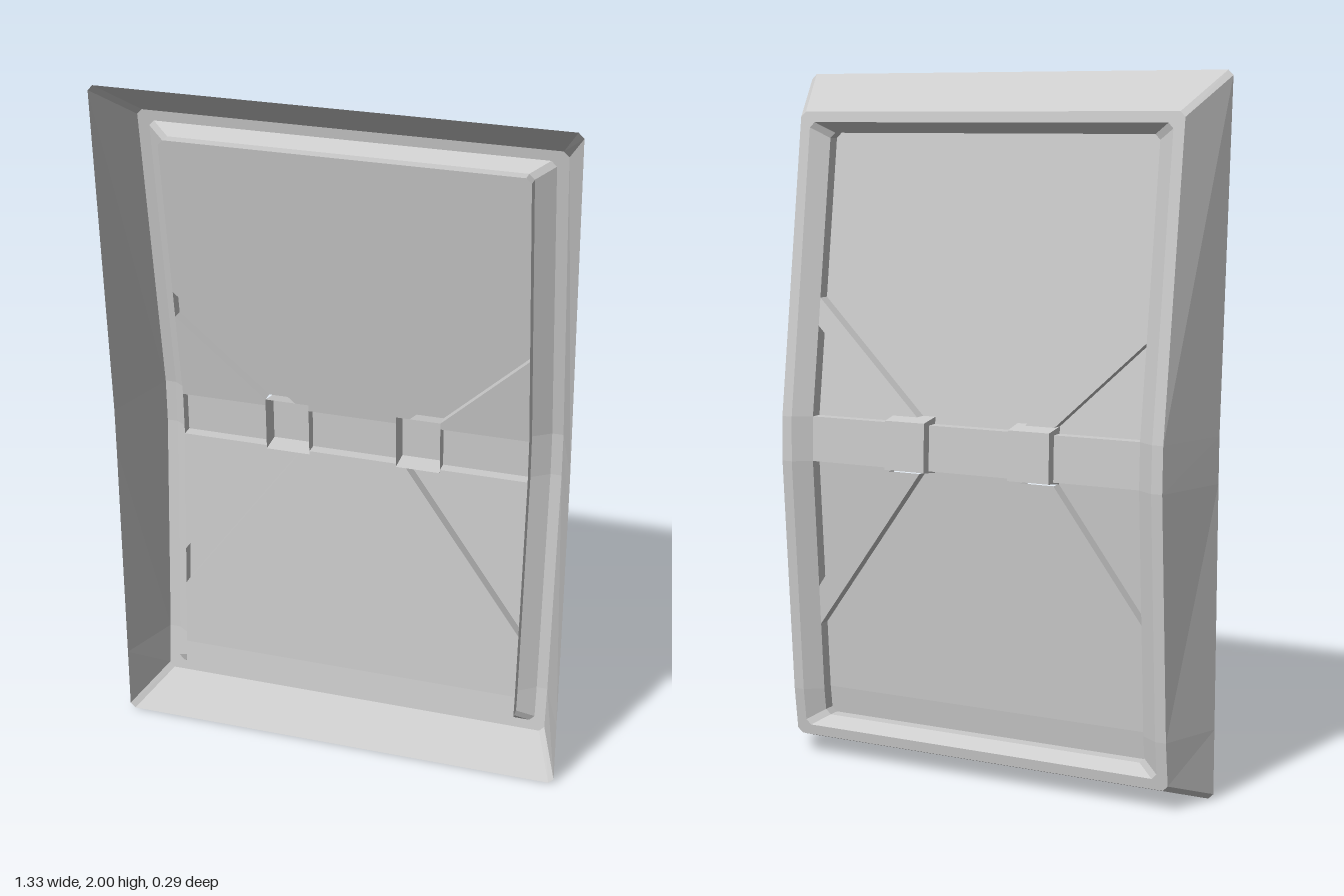
import * as THREE from 'three';

const material = new THREE.MeshStandardMaterial({ color: 0xcccccc, flatShading: true, side: THREE.DoubleSide });

// Piecewise-linear lookup of z by height, from [y, z] pairs
function lookup(table, y) {
  for (let i = 1; i < table.length; i++) {
    const [y0, z0] = table[i - 1], [y1, z1] = table[i];
    if (y <= y1 || i === table.length - 1) return z0 + (z1 - z0) * (y - y0) / (y1 - y0);
  }
}
const rear = y => lookup([[0.06, -0.08], [0.2, -0.098], [0.89, -0.145], [1.02, -0.142], [1.89, -0.02]], y);
const front = y => lookup([[0, 0.085], [1, 0.085], [2, 0.145]], y);
const PANEL = 0.07, BAR = 0.035, CLAMP = 0.009; // depths measured forward from the rear edge

function addMesh(parent, name, geometry) {
  const mesh = new THREE.Mesh(geometry, material);
  mesh.name = name;
  parent.add(mesh);
  return mesh;
}

// Band of quads between two rows of points
function band(a, b, closed = true) {
  const pos = [];
  const n = closed ? a.length : a.length - 1;
  for (let i = 0; i < n; i++) {
    const j = (i + 1) % a.length;
    pos.push(...a[i], ...a[j], ...b[j], ...a[i], ...b[j], ...b[i]);
  }
  const g = new THREE.BufferGeometry();
  g.setAttribute('position', new THREE.Float32BufferAttribute(pos, 3));
  g.computeVertexNormals();
  return g;
}

// Flat sheet outlined in x/y and laid on the bent rear profile
function plate(points, depth) {
  const shape = new THREE.Shape(points.map(p => new THREE.Vector2(p[0], p[1])));
  const g = new THREE.ShapeGeometry(shape).toNonIndexed();
  const pos = g.attributes.position;
  for (let i = 0; i < pos.count; i++) pos.setZ(i, rear(pos.getY(i)) + depth);
  g.computeVertexNormals();
  return g;
}

const lift = (points, depth) => points.map(([x, y]) => [x, y, rear(y) + depth]);
const flip = points => points.map(([x, y]) => [-x, y]).reverse();

// Rectangular loop with clipped corners and stations at the bends
function loop(hw, y0, y1, zAt, c = 0.015) {
  const half = [[hw - c, y0], [hw, y0 + c], [hw, 0.2], [hw, 0.89], [hw, 1.02], [hw, y1 - c], [hw - c, y1]];
  return [...half, ...flip(half)].map(([x, y]) => [x, y, zAt(y)]);
}

export function createModel() {
  const model = new THREE.Group();
  model.name = 'bracedWindow';

  // Frame: flared reveal, flat rear rim, bevel and inner step
  const rim = loop(0.664, 0, 2, front);
  const outer = loop(0.597, 0.06, 1.89, rear);
  const inner = loop(0.565, 0.09, 1.86, rear);
  const bevel = loop(0.515, 0.12, 1.83, y => rear(y) + BAR);
  const step = loop(0.515, 0.12, 1.83, y => rear(y) + PANEL);
  const frame = new THREE.Group();
  frame.name = 'frame';
  model.add(frame);
  addMesh(frame, 'flaredReveal', band(rim, outer));
  addMesh(frame, 'rearRim', band(outer, inner));
  addMesh(frame, 'innerBevel', band(inner, bevel));
  addMesh(frame, 'innerStep', band(bevel, step));

  // Pane: open behind the hollow bars
  const W = 0.515, c = 0.015;
  const upper = [[0.13, 1.02], [0.13, 1.04], [0.17, 1.04], [W, 1.36], [W, 1.83 - c], [W - c, 1.83]];
  const lower = [[W, 0.2], [W, 0.4], [0.16, 0.88], [0.13, 0.88], [0.13, 0.89]];
  const foot = [[W - c, 0.12], [W, 0.12 + c], [W, 0.2]];
  const pane = new THREE.Group();
  pane.name = 'pane';
  model.add(pane);
  addMesh(pane, 'upperPane', plate([...upper, ...flip(upper)], PANEL));
  addMesh(pane, 'lowerPane', plate([...lower, ...flip(lower)], PANEL));
  addMesh(pane, 'paneFoot', plate([...foot, ...flip(foot)], PANEL));

  // A hollow bar: rear face plus two long side walls
  function bar(name, edgeA, edgeB) {
    const group = new THREE.Group();
    group.name = name;
    model.add(group);
    addMesh(group, 'barFace', plate([...edgeA, ...[...edgeB].reverse()], BAR));
    for (const edge of [edgeA, edgeB])
      addMesh(group, 'barWall', band(lift(edge, BAR), lift(edge, PANEL), false));
  }

  // Crossbar, interrupted by the clamps
  bar('crossbarMiddle', [[-0.13, 0.89], [0.13, 0.89]], [[-0.13, 1.02], [0.13, 1.02]]);

  for (const s of [1, -1]) {
    const side = s > 0 ? 'left' : 'right';
    const m = points => points.map(([x, y]) => [s * x, y]);

    // Small pane corners between crossbar and braces
    addMesh(pane, side + 'UpperCorner', plate(m([[0.26, 1.02], [W, 1.02], [W, 1.28], [0.26, 1.04]]), PANEL));
    addMesh(pane, side + 'LowerCorner', plate(m([[0.26, 0.88], [W, 0.515], [W, 0.89], [0.26, 0.89]]), PANEL));

    // Crossbar end and diagonal braces
    bar(side + 'CrossbarEnd', m([[0.26, 0.89], [W, 0.89]]), m([[0.26, 1.02], [W, 1.02]]));
    bar(side + 'UpperBrace', m([[0.26, 1.04], [W, 1.28]]), m([[0.17, 1.04], [W, 1.36]]));
    bar(side + 'LowerBrace', m([[0.16, 0.88], [W, 0.4]]), m([[0.26, 0.88], [W, 0.515]]));

    // Clamp: open box with slightly tapered walls
    const clamp = new THREE.Group();
    clamp.name = side + 'Clamp';
    model.add(clamp);
    const base = m([[0.13, 0.88], [0.26, 0.88], [0.26, 1.04], [0.13, 1.04]]);
    const back = m([[0.132, 0.888], [0.258, 0.888], [0.258, 1.028], [0.132, 1.028]]);
    addMesh(clamp, 'clampFace', plate(back, CLAMP));
    addMesh(clamp, 'clampWalls', band(lift(base, PANEL), lift(back, CLAMP)));
  }
  return model;
}
